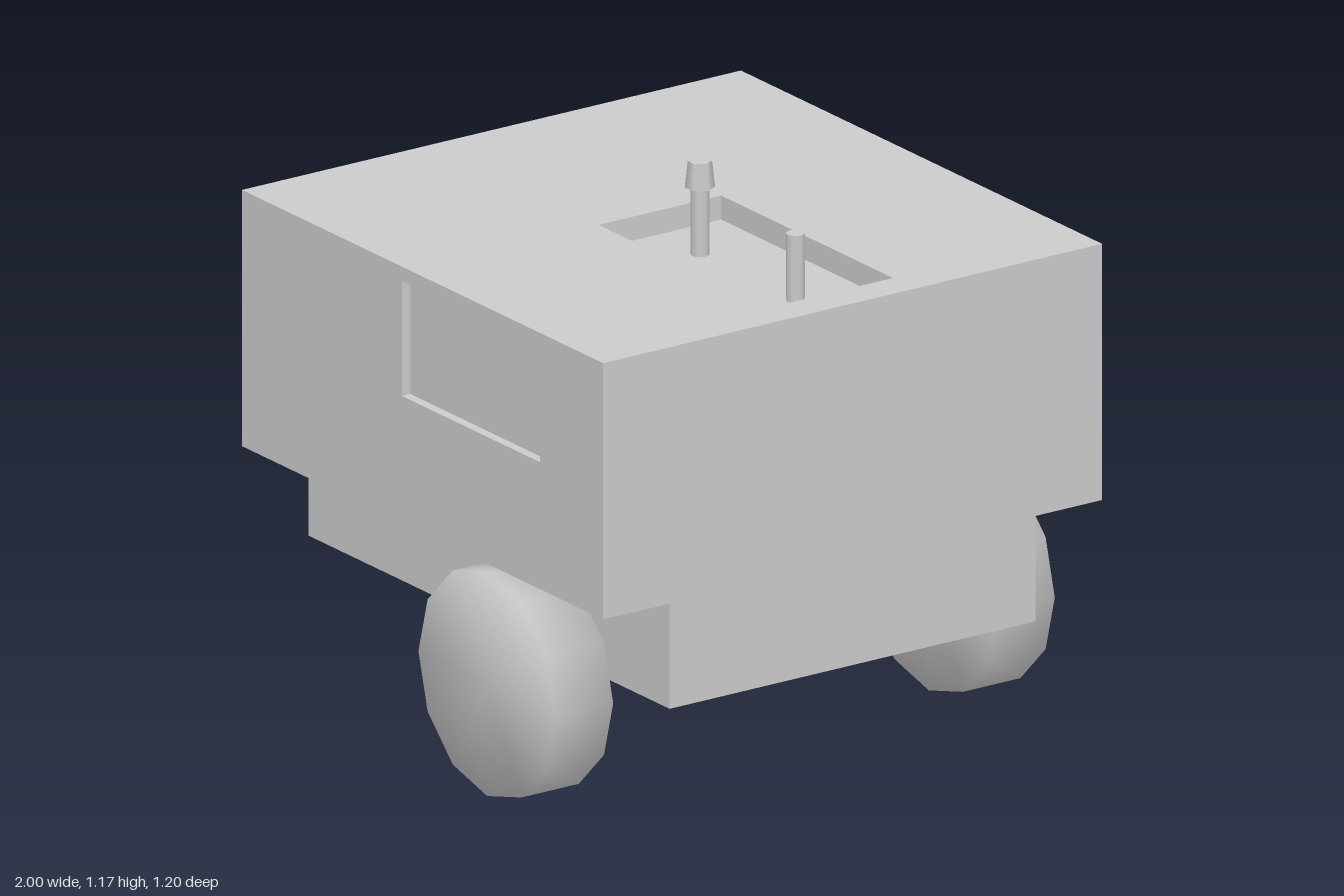
import * as THREE from 'three';
import { mergeVertices } from 'three/addons/utils/BufferGeometryUtils.js';

const grey = new THREE.MeshStandardMaterial({ color: 0xcccccc });

function add(parent, name, geometry, x = 0, y = 0, z = 0) {
  const mesh = new THREE.Mesh(geometry, grey);
  mesh.name = name;
  mesh.position.set(x, y, z);
  parent.add(mesh);
  return mesh;
}

// Box given by its limits on each axis
function block(parent, name, [x0, x1], [y0, y1], [z0, z1]) {
  return add(parent, name, new THREE.BoxGeometry(x1 - x0, y1 - y0, z1 - z0),
    (x0 + x1) / 2, (y0 + y1) / 2, (z0 + z1) / 2);
}

// Flat panel with rectangular openings; each rectangle is [u0, u1, v0, v1]
function panel(rect, holes, depth) {
  const corners = ([u0, u1, v0, v1]) => [[u0, v0], [u1, v0], [u1, v1], [u0, v1]]
    .map(([u, v]) => new THREE.Vector2(u, v));
  const shape = new THREE.Shape(corners(rect));
  for (const h of holes) shape.holes.push(new THREE.Path(corners(h).reverse()));
  return new THREE.ExtrudeGeometry(shape, { depth, bevelEnabled: false });
}

// Twelve-sided wheel with normals shared across the rim, axis along y
function wheelGeometry(radius, width) {
  const g = new THREE.CylinderGeometry(radius, radius, width, 12);
  g.deleteAttribute('normal');
  g.deleteAttribute('uv');
  const merged = mergeVertices(g);
  merged.computeVertexNormals();
  return merged;
}

export function createModel() {
  const model = new THREE.Group();
  model.name = 'trailer';

  // Housing: core with recessed panels on the front, back and top
  const housing = new THREE.Group();
  housing.name = 'housing';
  model.add(housing);
  const left = -0.23, right = 1, base = 0.485, top = 1.02, skin = 0.02, well = 0.05;
  block(housing, 'core', [left, right], [base, top - well], [-0.6 + skin, 0.6 - skin]);
  const side = [left, right, base, top];
  add(housing, 'frontPanel', panel(side, [[0.315, 0.785, 0.75, 0.99]], skin), 0, 0, 0.6 - skin);
  add(housing, 'backPanel', panel(side, [[0.32, 0.945, 0.61, 0.9], [-0.207, 0.245, 0.61, 0.9]], skin), 0, 0, -0.6);
  const roof = panel([left, right, -0.6 + skin, 0.6 - skin], [[0.34, 0.925, -0.145, 0.15]], well);
  add(housing, 'roofPanel', roof.rotateX(-Math.PI / 2), 0, top - well, 0);
  block(housing, 'lowerBody', [left, right], [0.265, base], [-0.44, 0.44]);

  // Exhaust pipes standing in the roof well
  const floor = top - well;
  const pipe = (name, x, height) => add(model, name,
    new THREE.CylinderGeometry(0.019, 0.019, height, 8), x, floor + height / 2, 0);
  pipe('tallPipe', 0.48, 0.15);
  pipe('shortPipe', 0.805, 0.14);
  add(model, 'pipeCap', new THREE.CylinderGeometry(0.024, 0.03, 0.055, 6).rotateY(Math.PI / 6), 0.48, 1.138, 0);

  // Axle, road wheels and spare wheel
  const r = 0.234, w = 0.138;
  add(model, 'axle', new THREE.CylinderGeometry(0.031, 0.031, 0.94, 8).rotateX(Math.PI / 2), 0.605, r, 0);
  for (const s of [-1, 1]) {
    add(model, s > 0 ? 'frontWheel' : 'backWheel',
      wheelGeometry(r, w).rotateX(Math.PI / 2), 0.605, r, s * (0.6 - w / 2));
  }
  add(model, 'spareWheel', wheelGeometry(r, 0.135).rotateZ(Math.PI / 2), left - 0.0675, 0.602, -0.195);

  // Drawbar: flared mount, slightly sloping bar and square towing eye
  const drawbar = new THREE.Group();
  drawbar.name = 'drawbar';
  drawbar.position.z = 0.008;
  model.add(drawbar);
  const flare = new THREE.Shape([[left, -0.12], [left, 0.12], [-0.385, 0.02], [-0.385, -0.02]]
    .map(([x, z]) => new THREE.Vector2(x, z)));
  const mount = new THREE.ExtrudeGeometry(flare, { depth: 0.025, bevelEnabled: false });
  add(drawbar, 'mount', mount.rotateX(-Math.PI / 2), 0, 0.298, 0);
  const bar = new THREE.CylinderGeometry(0.022, 0.022, 0.6, 8).rotateZ(Math.PI / 2).scale(1, 0.6, 1);
  add(drawbar, 'bar', bar, -0.64, 0.302, 0).rotation.z = 0.026;
  const eye = panel([-1, -0.928, -0.037, 0.037], [[-0.987, -0.938, -0.026, 0.026]], 0.027);
  add(drawbar, 'towingEye', eye.rotateX(-Math.PI / 2), 0, 0.278, 0);

  return model;
}
